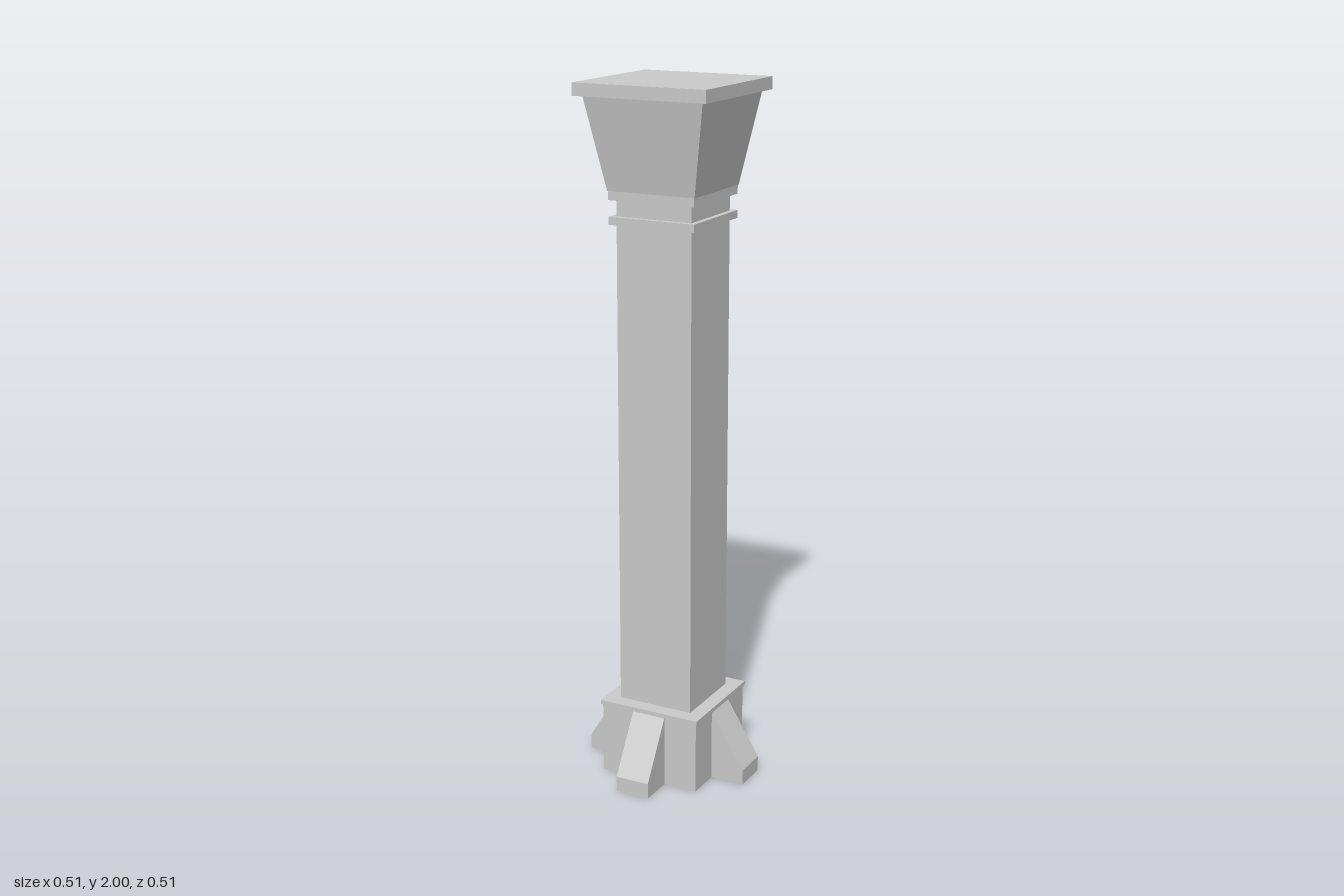
import * as THREE from 'three';

const material = new THREE.MeshStandardMaterial({ color: 0xcccccc, flatShading: true });

export function createModel() {
  const column = new THREE.Group();
  column.name = 'column';

  function add(name, geometry) {
    const mesh = new THREE.Mesh(geometry, material);
    mesh.name = name;
    column.add(mesh);
    return mesh;
  }

  // Square block between two heights; the top may be wider than the bottom
  function block(name, y0, y1, halfBottom, halfTop = halfBottom) {
    const geometry = new THREE.CylinderGeometry(
      halfTop * Math.SQRT2, halfBottom * Math.SQRT2, y1 - y0, 4);
    geometry.rotateY(Math.PI / 4);
    geometry.translate(0, (y0 + y1) / 2, 0);
    return add(name, geometry);
  }

  // Base and shaft
  block('pedestal', 0, 0.21, 0.152);
  block('pedestalCap', 0.21, 0.223, 0.157);
  block('shaft', 0.223, 1.685, 0.114);
  block('neckRing', 1.618, 1.64, 0.13);

  // Flared capital with a short straight foot and a flat top slab
  block('capitalFoot', 1.685, 1.71, 0.13);
  block('capital', 1.71, 1.965, 0.132, 0.178);
  block('topSlab', 1.965, 2, 0.198);

  // Four sloped buttresses, one per side of the pedestal
  const profile = new THREE.Shape([
    new THREE.Vector2(0.14, 0),
    new THREE.Vector2(0.253, 0),
    new THREE.Vector2(0.253, 0.045),
    new THREE.Vector2(0.153, 0.209),
    new THREE.Vector2(0.14, 0.209),
  ]);
  const buttress = new THREE.ExtrudeGeometry(profile, { depth: 0.102, bevelEnabled: false });
  buttress.translate(0, 0, -0.051);
  ['left', 'back', 'right', 'front'].forEach((side, i) => {
    add(side + 'Buttress', buttress).rotation.y = i * Math.PI / 2;
  });

  return column;
}
